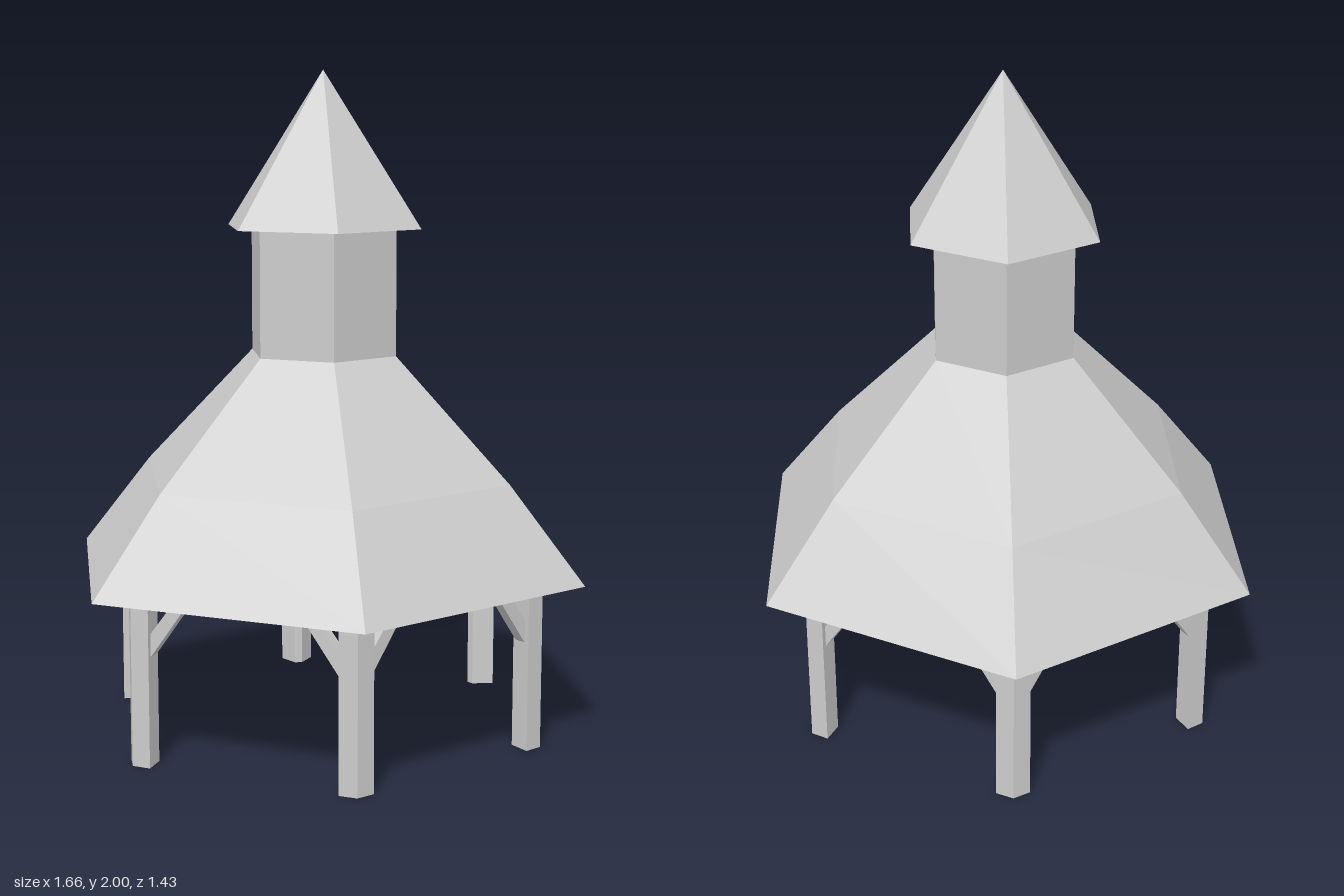
import * as THREE from 'three';

const SIDES = 6;

export function createModel() {
  const model = new THREE.Group();
  model.name = 'pavilion';

  const paleGrey = new THREE.MeshStandardMaterial({ color: 0xcccccc, flatShading: true, side: THREE.DoubleSide });
  paleGrey.name = 'paleGrey';

  const add = (parent, name, geometry) => {
    const mesh = new THREE.Mesh(geometry, paleGrey);
    mesh.name = name;
    parent.add(mesh);
    return mesh;
  };

  // Six-sided shell from a [radius, height] profile, with corners on the x axis
  const hexShell = (name, profile) => add(model, name, new THREE.LatheGeometry(
    profile.map(([r, y]) => new THREE.Vector2(r, y)), SIDES, Math.PI / 2));

  // Main roof with flat ceiling and a gentle kink, tower, and open spire
  hexShell('mainRoof', [[0, 0.505], [0.828, 0.505], [0.595, 0.79], [0.235, 1.155]]);
  hexShell('tower', [[0.235, 1.155], [0.235, 1.65]]);
  hexShell('spire', [[0.313, 1.535], [0, 2]]);

  // Corner post: a mitred section (radial, tangential), open at the ends
  const section = [[0.70, 0], [0.673, -0.05], [0.616, -0.012], [0.616, 0.012], [0.673, 0.05]];
  const height = 0.505;
  const corners = [];
  section.forEach(([x, z], i) => {
    const [u, w] = section[(i + 1) % section.length];
    corners.push(x, 0, z, u, 0, w, u, height, w, x, 0, z, u, height, w, x, height, z);
  });
  const postGeometry = new THREE.BufferGeometry();
  postGeometry.setAttribute('position', new THREE.Float32BufferAttribute(corners, 3));
  postGeometry.computeVertexNormals();

  // Slanted brace running from a post up to the ceiling
  const braceShape = new THREE.Shape([
    [-0.01, 0.33], [0, 0.33], [0.125, 0.505], [0.08, 0.505], [-0.01, 0.385],
  ].map(([s, y]) => new THREE.Vector2(s, y)));
  const thickness = 0.038;
  const braceGeometry = new THREE.ExtrudeGeometry(braceShape, { depth: thickness, bevelEnabled: false });
  braceGeometry.translate(0, 0, -thickness / 2);

  for (let i = 0; i < SIDES; i++) {
    const support = new THREE.Group();
    support.name = 'support';
    add(support, 'post', postGeometry);
    for (const side of [-1, 1]) {
      const brace = add(support, 'brace', braceGeometry);
      brace.position.set(0.642, 0, side * 0.032);
      brace.rotation.y = -side * Math.PI * 2 / 3;
    }
    support.rotation.y = i * Math.PI * 2 / SIDES;
    model.add(support);
  }

  return model;
}
